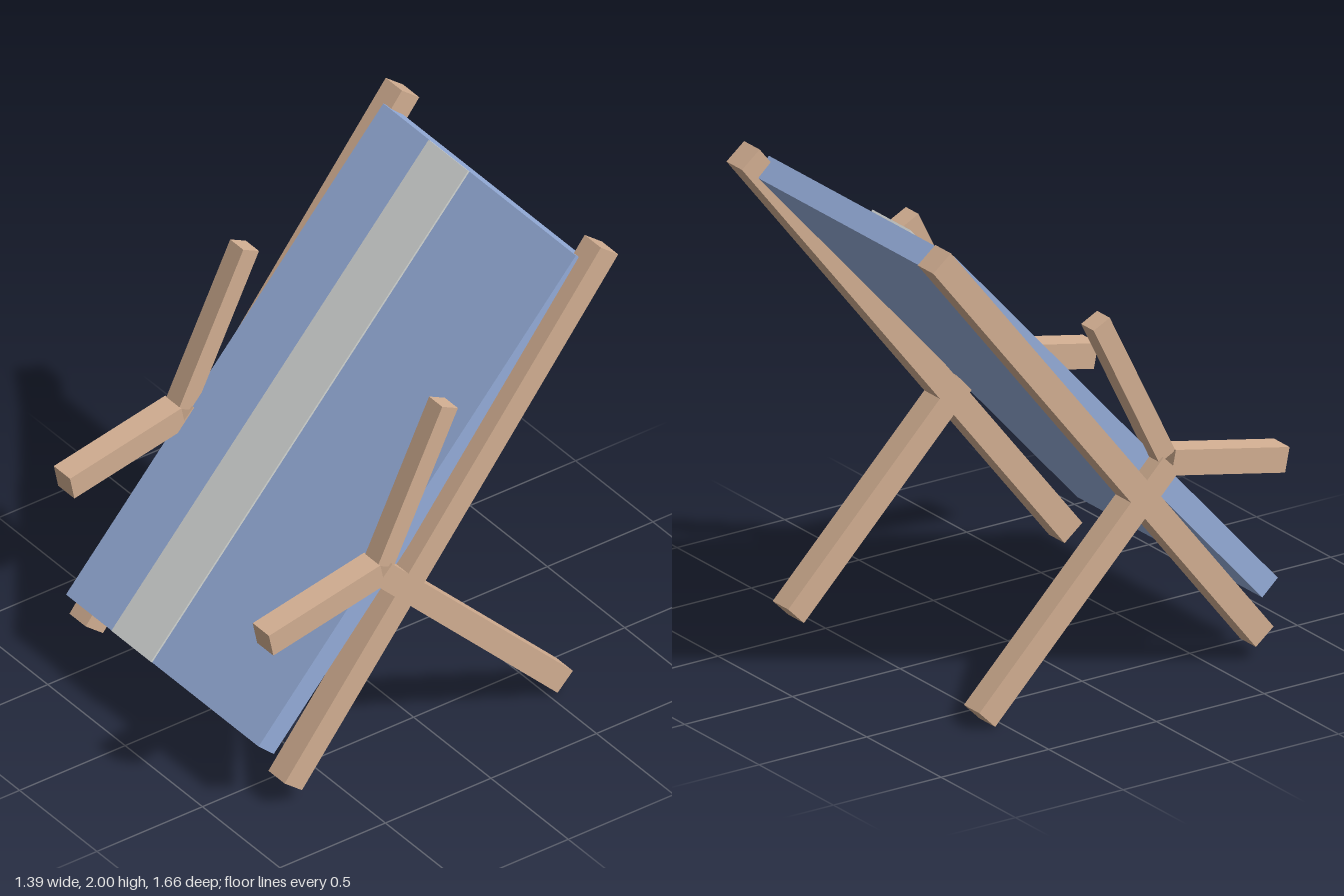
import * as THREE from 'three';

const wood = new THREE.MeshStandardMaterial({ color: 0xd4b093 });
wood.name = 'wood';
const fabric = new THREE.MeshStandardMaterial({ color: 0x96aedb });
fabric.name = 'blueFabric';
const pale = new THREE.MeshStandardMaterial({ color: 0xd6d9d7 });
pale.name = 'paleStripe';

// Box running between two [z, y] points in the side plane, centred on x
function beam(name, material, from, to, width, thickness, x) {
  const dz = to[0] - from[0], dy = to[1] - from[1];
  const mesh = new THREE.Mesh(new THREE.BoxGeometry(width, Math.hypot(dz, dy), thickness), material);
  mesh.name = name;
  mesh.position.set(x, (from[1] + to[1]) / 2, (from[0] + to[0]) / 2);
  mesh.rotation.x = Math.atan2(dz, dy);
  return mesh;
}

export function createModel() {
  const chair = new THREE.Group();
  chair.name = 'deckChair';

  // Wooden side frames
  for (const side of [1, -1]) {
    const frame = new THREE.Group();
    frame.name = side > 0 ? 'leftFrame' : 'rightFrame';
    const x = side * 0.643;
    frame.add(
      beam('longRail', wood, [0.713, 0.085], [-0.785, 1.967], 0.105, 0.105, x),
      beam('rearLeg', wood, [-0.575, 0.037], [0.28, 0.895], 0.105, 0.103, x),
      beam('armrest', wood, [0.818, 0.79], [0.29, 0.899], 0.105, 0.103, x),
      beam('armSupport', wood, [0.268, 0.925], [-0.037, 1.542], 0.085, 0.083, x)
    );
    chair.add(frame);
  }

  // Reclined fabric seat
  const low = [0.788, 0.246], high = [-0.715, 1.916];
  const seat = beam('fabricSeat', fabric, low, high, 1.245, 0.097, 0);
  chair.add(seat);

  // Pale stripe laid on the front of the seat
  const stripe = beam('seatStripe', pale, low, high, 0.255, 0.009, -0.193);
  stripe.translateZ(0.0525);
  chair.add(stripe);

  return chair;
}
